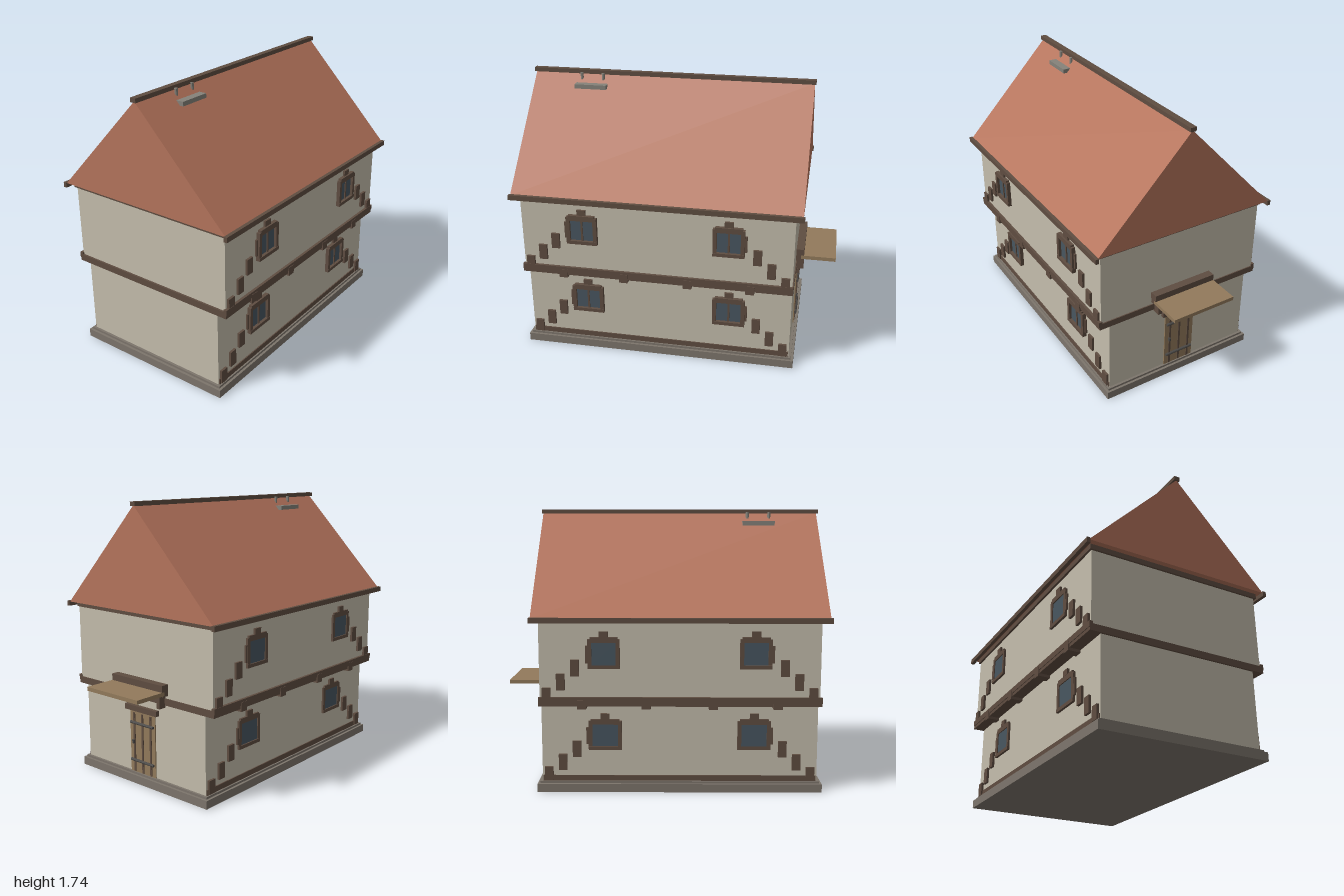
import * as THREE from 'three';

const mat = (color) => new THREE.MeshStandardMaterial({ color, flatShading: true });

export function createModel() {
  const house = new THREE.Group();
  house.name = 'house';
  const wall = mat(0xc4bdac), wood = mat(0x5f4d41), roofTile = mat(0xb5745c);
  const plank = mat(0x927a5b), stone = mat(0x7d756c), iron = mat(0x4c4a48);
  const glass = mat(0x485660), slate = mat(0x85827a);
  const CX = -0.0975; // middle of the building along x

  // Box given by its min and max along each axis
  function block(name, m, x0, x1, y0, y1, z0, z1, parent = house) {
    const mesh = new THREE.Mesh(new THREE.BoxGeometry(x1 - x0, y1 - y0, z1 - z0), m);
    mesh.position.set((x0 + x1) / 2, (y0 + y1) / 2, (z0 + z1) / 2);
    mesh.name = name;
    parent.add(mesh);
    return mesh;
  }
  function rod(name, m, r, length, x, y, z, axis) {
    const mesh = new THREE.Mesh(new THREE.CylinderGeometry(r, r, length, 8), m);
    if (axis === 'z') mesh.rotation.x = Math.PI / 2;
    mesh.position.set(x, y, z);
    mesh.name = name;
    house.add(mesh);
  }

  // Foundation and storeys
  block('foundation', stone, -0.975, 0.78, 0, 0.052, -0.54, 0.54);
  block('foundationStep', stone, -0.96, 0.765, 0.052, 0.066, -0.525, 0.525);
  block('lowerWalls', wall, -0.945, 0.75, 0.066, 0.57, -0.508, 0.508);
  block('upperWalls', wall, -0.945, 0.75, 0.57, 1.08, -0.565, 0.565);
  block('floorBeam', wood, -0.957, 0.757, 0.55, 0.592, -0.578, 0.578);
  block('wallPlate', wood, -0.957, 0.757, 1.055, 1.087, -0.578, 0.578);

  // Long-side timbers, repeated front and back
  for (const s of [1, -1]) {
    const face = (name, m, x0, x1, y0, y1, a, b, parent) =>
      block(name, m, x0, x1, y0, y1, Math.min(s * a, s * b), Math.max(s * a, s * b), parent);
    face('sillBeam', wood, -0.94, 0.745, 0.066, 0.1, 0.5, 0.515);
    face('sideBeam', wood, -0.957, 0.757, 0.57, 0.606, 0.56, 0.582);
    for (const x of [-0.69, -0.3, 0.105, 0.495])
      face('joistEnd', wood, x - 0.027, x + 0.027, 0.533, 0.59, 0.505, 0.585);
    face('eaveBeam', wood, -1, 0.8, 1.06, 1.092, 0.6, 0.622);

    // Each storey: wall depth, window bottom, floor height, window half width
    for (const [d, sill, base, hw] of [[0.508, 0.265, 0.07, 0.102], [0.565, 0.78, 0.605, 0.097]]) {
      for (const side of [-1, 1]) {
        const c = CX + side * 0.457;
        const out = s > 0 ? 0.024 : 0.013;
        const win = new THREE.Group();
        win.name = 'window';
        house.add(win);
        const h = 0.18;
        face('windowPane', glass, c - hw + 0.02, c + hw - 0.02, sill + 0.02, sill + h - 0.02, d - 0.01, d + 0.007, win);
        for (const e of [-1, 1])
          face('windowJamb', wood, c + e * (hw - 0.012) - 0.012, c + e * (hw - 0.012) + 0.012, sill, sill + h, d - 0.01, d + out, win);
        face('windowSill', wood, c - hw, c + hw, sill, sill + 0.022, d - 0.01, d + out + 0.002, win);
        face('windowHead', wood, c - hw + 0.014, c + hw - 0.014, sill + h - 0.022, sill + h + 0.012, d - 0.01, d + out, win);
        face('keystone', wood, c - 0.027, c + 0.027, sill + h + 0.01, sill + h + 0.047, d - 0.01, d + 0.014, win);
        if (s > 0) face('mullion', wood, c - 0.006, c + 0.006, sill + 0.02, sill + h - 0.02, d, d + 0.014, win);
        // Small side stay on the outer jamb
        const o = c + side * (hw + 0.004);
        face('windowStay', wood, o - 0.01, o + 0.01, sill + 0.035, sill + 0.14, d - 0.005, d + 0.012, win);

        // Blocks rising diagonally inward from the corner
        for (let i = 0; i < 3; i++) {
          const x = CX + side * (0.806 - i * 0.087);
          const y0 = i === 0 ? base : base - 0.02 + i * 0.085 - (d > 0.55 ? 0.02 : 0);
          const top = i === 0 ? base + (d > 0.55 ? 0.058 : 0.085) : y0 + 0.1;
          face('wallBlock', wood, x - 0.026, x + 0.026, y0, top, d - 0.01, d + 0.015);
        }
      }
    }

    // Ridge ledge hung on two pegs
    face('roofLedge', slate, -0.71, -0.505, 1.633, 1.66, 0.045, 0.103);
    for (const x of [-0.68, -0.54]) rod('ledgePeg', slate, 0.01, 0.06, x, 1.69, s * 0.028, 'y');
  }

  // Gabled roof
  const gable = new THREE.Shape();
  gable.moveTo(-0.605, 1.086);
  gable.lineTo(0.605, 1.086);
  gable.lineTo(0, 1.715);
  gable.closePath();
  const roof = new THREE.Mesh(
    new THREE.ExtrudeGeometry(gable, { depth: 1.782, bevelEnabled: false }), roofTile);
  roof.rotation.y = Math.PI / 2;
  roof.position.x = -0.99;
  roof.name = 'roof';
  house.add(roof);
  block('ridgeBeam', wood, -1, 0.8, 1.71, 1.736, -0.019, 0.019);

  // Door on the gable end
  block('door', plank, 0.74, 0.757, 0.066, 0.465, -0.107, 0.107);
  for (const z of [-0.07, 0, 0.07])
    block('doorBatten', wood, 0.75, 0.762, 0.07, 0.452, z - 0.007, z + 0.007);
  for (const y of [0.145, 0.388]) rod('doorStrap', iron, 0.009, 0.195, 0.763, y, 0, 'z');
  block('doorHandle', iron, 0.755, 0.772, 0.253, 0.277, 0.068, 0.08);
  block('doorLintel', wood, 0.74, 0.775, 0.468, 0.502, -0.135, 0.135);

  // Canopy over the door
  block('canopyBoard', plank, 0.78, 1, 0.617, 0.641, -0.215, 0.215);
  block('canopyBeam', wood, 0.745, 0.8, 0.641, 0.682, -0.215, 0.215);
  block('canopyBacking', wood, 0.745, 0.79, 0.61, 0.641, -0.213, 0.213);
  for (const z of [-0.18, 0.18])
    block('canopyBracket', wood, 0.745, 0.8, 0.535, 0.617, z - 0.013, z + 0.013);

  return house;
}
